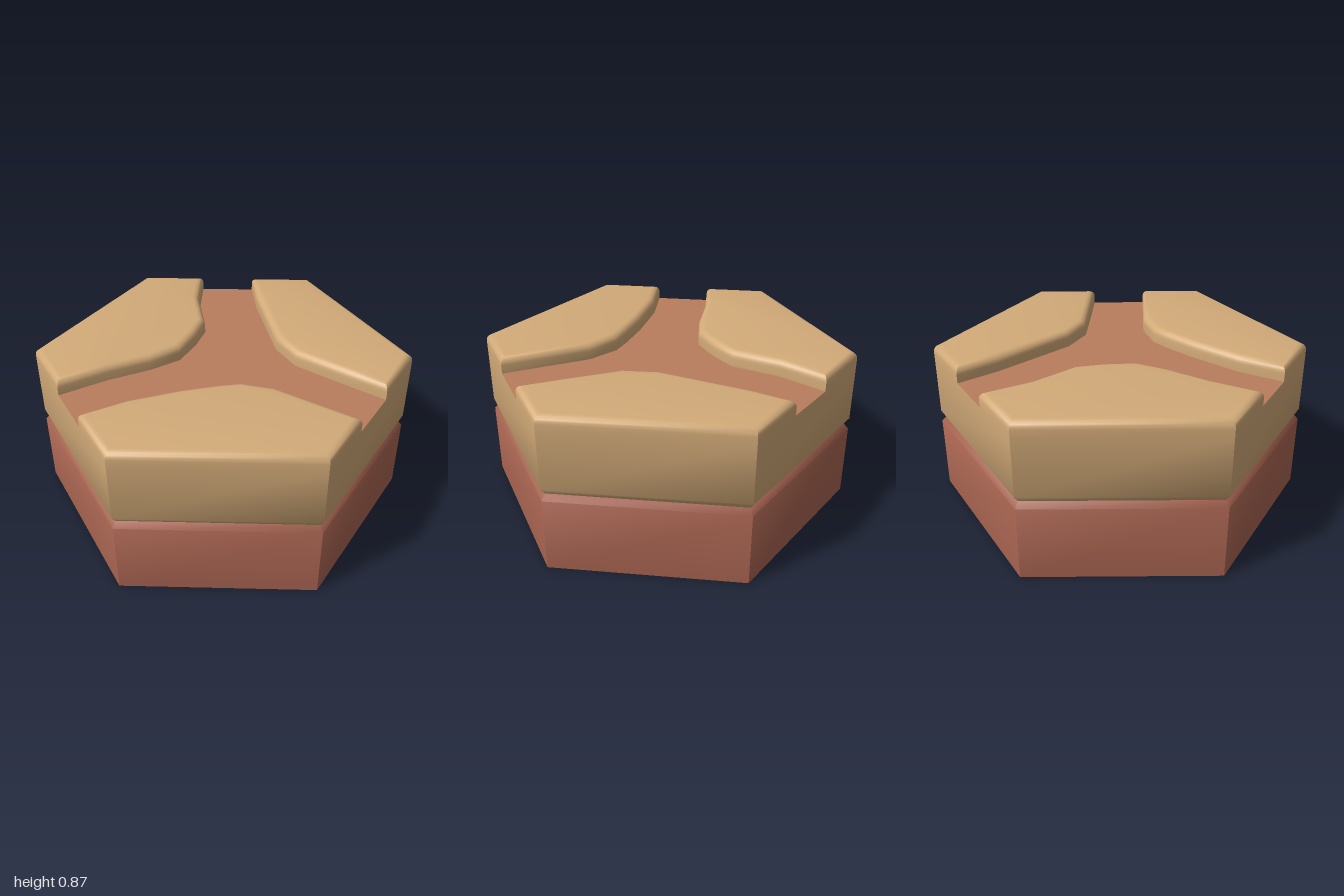
import * as THREE from 'three';
import { toCreasedNormals } from 'three/addons/utils/BufferGeometryUtils.js';

const SEAM = 0.433, FLOOR = 0.78, TOP = 0.866, ROUND = 0.04, W = 0.866;

// Outline of [x, z] points as a counter-clockwise loop seen from above
function toLoop(points) {
  const loop = points.map(([x, z]) => new THREE.Vector2(x, -z));
  return THREE.ShapeUtils.isClockWise(loop) ? loop.reverse() : loop;
}

// Move every side of a loop inwards by d, with mitred corners
function inset(loop, d) {
  const n = loop.length;
  const inward = (a, b) => new THREE.Vector2(a.y - b.y, b.x - a.x).normalize();
  return loop.map((p, i) => {
    const n1 = inward(loop[(i + n - 1) % n], p);
    const n2 = inward(p, loop[(i + 1) % n]);
    const k = d / (1 + n1.dot(n2));
    return p.clone().add(n1.add(n2).multiplyScalar(k));
  });
}

// Stack inset copies of an outline; profile is [inset, y] from bottom to top
function loft(points, profile, capBottom, capTop) {
  const base = toLoop(points), n = base.length;
  const pos = [], idx = [];
  const rings = profile.map(([d]) => inset(base, d));
  rings.forEach((ring, r) => ring.forEach(p => pos.push(p.x, profile[r][1], -p.y)));
  for (let r = 0; r + 1 < rings.length; r++) {
    for (let i = 0; i < n; i++) {
      const a = r * n + i, b = r * n + (i + 1) % n;
      idx.push(a, b, b + n, a, b + n, a + n);
    }
  }
  const last = rings.length - 1;
  if (capBottom) {
    for (const [a, b, c] of THREE.ShapeUtils.triangulateShape(rings[0], [])) idx.push(a, c, b);
  }
  if (capTop) {
    for (const f of THREE.ShapeUtils.triangulateShape(rings[last], [])) idx.push(...f.map(i => last * n + i));
  }
  const geo = new THREE.BufferGeometry();
  geo.setAttribute('position', new THREE.Float32BufferAttribute(pos, 3));
  geo.setIndex(idx);
  return toCreasedNormals(geo, 0.9);
}

export function createModel() {
  const group = new THREE.Group();
  const sand = new THREE.MeshStandardMaterial({ color: 0xd2aa78 });
  const clay = new THREE.MeshStandardMaterial({ color: 0xa5624f });
  const path = new THREE.MeshStandardMaterial({ color: 0xb97d5e });
  const add = (name, geo, mat) => {
    const mesh = new THREE.Mesh(geo, mat);
    mesh.name = name;
    group.add(mesh);
  };

  const hex = [[0, 1], [W, 0.5], [W, -0.5], [0, -1], [-W, -0.5], [-W, 0.5]];

  // Two stacked hexagonal layers with a chamfered groove between them
  add('lowerLayer', loft(hex, [[0, 0], [0, 0.402], [0.024, SEAM]], true, false), clay);
  add('upperLayer', loft(hex, [[0.024, SEAM], [0, 0.466], [0, FLOOR]], false, false), sand);

  // Edges of the three-way path, in order around the tile
  const backEdge = [[-0.3, -0.827], [-0.16, -0.64], [0.165, -0.287], [0.33, -0.196], [0.64, -0.17], [W, -0.155]];
  const frontEdge = [[W, 0.15], [0.39, 0.138], [0.222, 0.19], [0.14, 0.26], [0, 0.4], [-0.175, 0.61], [-0.3, 0.827]];
  const sideEdge = [[-0.56, 0.677], [-0.434, 0.44], [-0.3, 0.24], [-0.222, 0.08], [-0.233, -0.09],
    [-0.265, -0.238], [-0.434, -0.44], [-0.56, -0.677]];

  // Sunken path surface
  add('pathFloor', loft([...backEdge, ...frontEdge, ...sideEdge], [[0, FLOOR]], false, true), path);

  // Raised plates with rounded rims
  const rim = [[0, FLOOR]];
  for (let i = 0; i <= 5; i++) {
    const a = (i / 5) * Math.PI / 2;
    rim.push([ROUND * (1 - Math.cos(a)), TOP - ROUND * (1 - Math.sin(a))]);
  }
  const plates = {
    backPlate: [...backEdge, [W, -0.5], [0, -1]],
    frontPlate: [...frontEdge, [0, 1], [W, 0.5]],
    rightPlate: [...sideEdge, [-W, -0.5], [-W, 0.5]],
  };
  for (const [name, outline] of Object.entries(plates)) add(name, loft(outline, rim, false, true), sand);

  return group;
}
